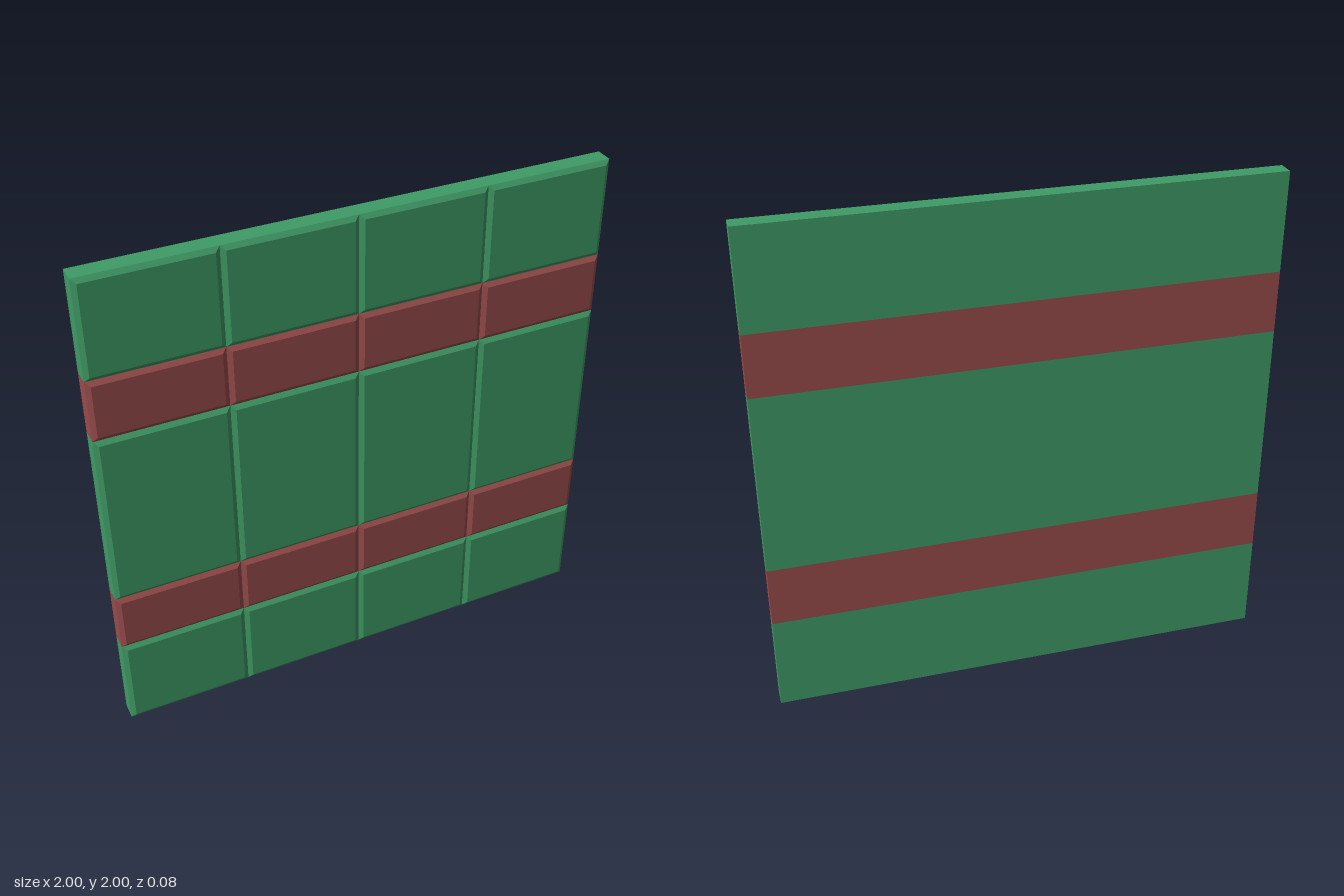
import * as THREE from 'three';

const BACK = -0.04, FRONT = 0.04;
const BEVEL = 0.018, BEVEL_DEPTH = 0.012;

// Block whose front edges are chamfered: the middle ring of the box becomes
// the start of the chamfer, and the front ring is drawn inwards.
function tileGeometry(w, h) {
  const box = new THREE.BoxGeometry(w, h, 2, 1, 1, 2);
  const p = box.attributes.position;
  for (let i = 0; i < p.count; i++) {
    const z = p.getZ(i);
    if (z > 0.5) {
      p.setXYZ(i, p.getX(i) - Math.sign(p.getX(i)) * BEVEL,
        p.getY(i) - Math.sign(p.getY(i)) * BEVEL, FRONT);
    } else {
      p.setZ(i, z < -0.5 ? BACK : FRONT - BEVEL_DEPTH);
    }
  }
  const geo = box.toNonIndexed();
  geo.computeVertexNormals();
  return geo;
}

export function createModel() {
  const model = new THREE.Group();
  model.name = 'tiledWallPanel';
  const green = new THREE.MeshStandardMaterial({ color: 0x3f9b66 });
  const red = new THREE.MeshStandardMaterial({ color: 0x994c4c });

  // Horizontal bands, bottom to top
  const levels = [0, 0.39, 0.635, 1.365, 1.61, 2];
  const names = ['bottomBand', 'lowerStripe', 'middleBand', 'upperStripe', 'topBand'];
  const columns = 4, width = 2 / columns;

  names.forEach((name, row) => {
    const band = new THREE.Group();
    band.name = name;
    const h = levels[row + 1] - levels[row];
    const geo = tileGeometry(width, h);
    for (let c = 0; c < columns; c++) {
      const tile = new THREE.Mesh(geo, row % 2 ? red : green);
      tile.name = 'tile';
      tile.position.set(-1 + width * (c + 0.5), levels[row] + h / 2, 0);
      band.add(tile);
    }
    model.add(band);
  });
  return model;
}
